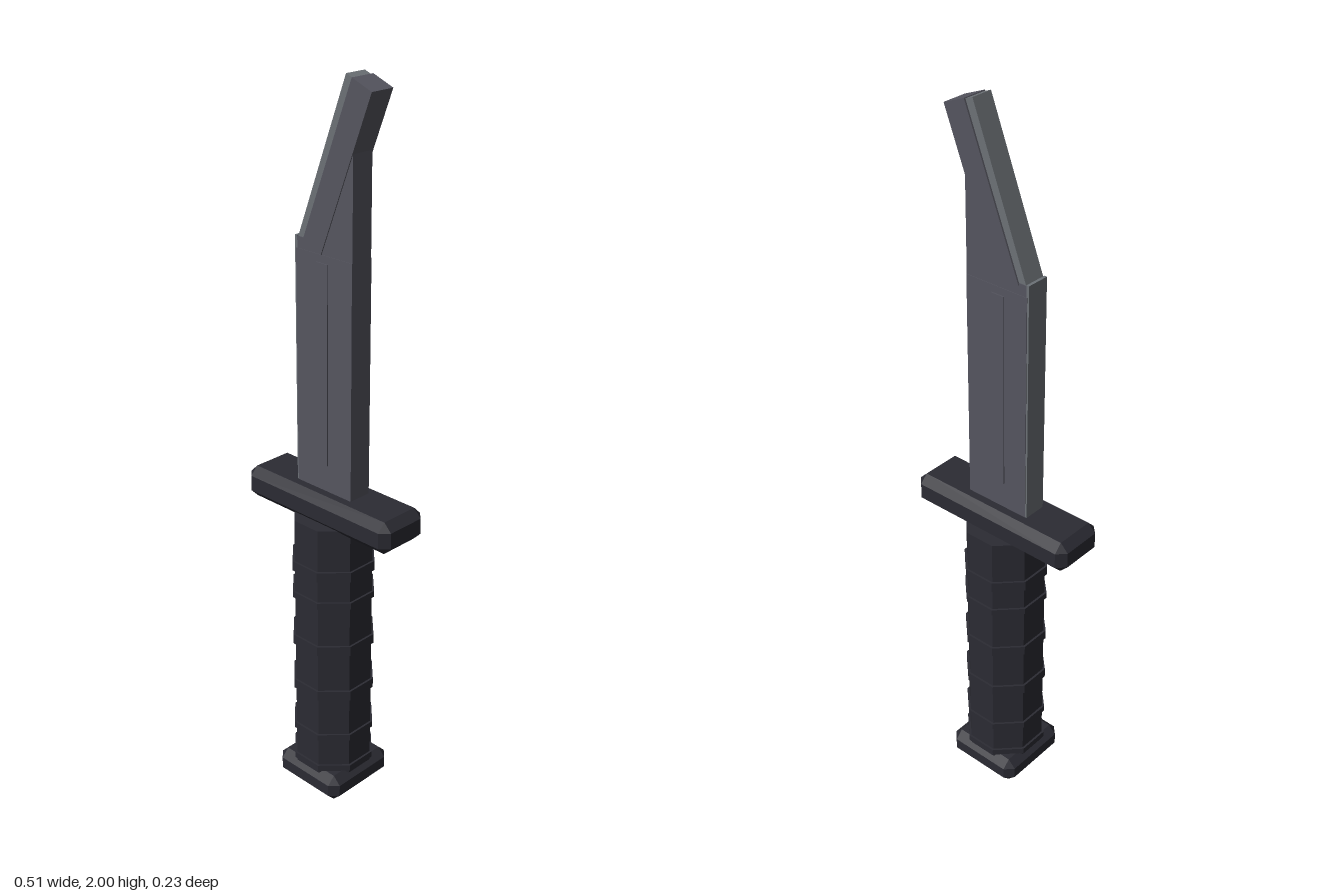
import * as THREE from 'three';
import { ConvexGeometry } from 'three/addons/geometries/ConvexGeometry.js';

const mat = (name, color) => {
  const m = new THREE.MeshStandardMaterial({ color, flatShading: true });
  m.name = name;
  return m;
};

// Box with every edge chamfered by c
function chamferBox(w, h, d, c) {
  const pts = [];
  const [a, b, e] = [w / 2, h / 2, d / 2];
  for (const i of [-1, 1]) for (const j of [-1, 1]) for (const k of [-1, 1]) {
    pts.push(
      new THREE.Vector3(i * a, j * (b - c), k * (e - c)),
      new THREE.Vector3(i * (a - c), j * b, k * (e - c)),
      new THREE.Vector3(i * (a - c), j * (b - c), k * e));
  }
  return new ConvexGeometry(pts);
}

// Flat outline given thickness 2 * half, centred on z = 0
function slab(points, half) {
  const shape = new THREE.Shape(points.map(p => new THREE.Vector2(...p)));
  return new THREE.ExtrudeGeometry(shape, { depth: 2 * half, bevelEnabled: false })
    .translate(0, 0, -half);
}

// Upright octagonal prism with flats facing the axes
function octagon(flat, y0, y1) {
  const r = flat / Math.cos(Math.PI / 8);
  return new THREE.CylinderGeometry(r, r, y1 - y0, 8)
    .rotateY(Math.PI / 8).translate(0, (y0 + y1) / 2, 0);
}

export function createModel() {
  const group = new THREE.Group();
  const black = mat('black grip', 0x2b2b33);
  const steel = mat('dark steel', 0x55555f);
  const bright = mat('edge steel', 0x6c7176);
  const add = (name, geometry, material) => {
    const mesh = new THREE.Mesh(geometry, material);
    mesh.name = name;
    group.add(mesh);
    return mesh;
  };

  // Handle
  add('pommel', chamferBox(0.23, 0.08, 0.23, 0.023), black).position.y = 0.04;
  add('grip', octagon(0.103, 0.07, 0.845), black);
  [0.09, 0.195, 0.335, 0.48, 0.622, 0.71].forEach((y, i) => {
    const half = i === 3 || i === 2 || i === 5 ? 0.014 : 0.009;
    add('gripRing', octagon(0.109, y - half, y + half), black);
  });
  add('guard', chamferBox(0.512, 0.09, 0.158, 0.023), black).position.y = 0.88;

  // Blade body
  add('lowerBlade', slab([[-0.095, 0.9], [0.095, 0.9], [0.095, 1.56], [-0.095, 1.56]], 0.034), steel);
  add('upperBlade', slab([[-0.095, 1.56], [0.095, 1.56], [0.095, 1.9],
    [0.07, 1.9], [-0.055, 1.59], [-0.095, 1.59]], 0.0325), steel);
  add('fuller', slab([[-0.025, 1.0], [0.014, 1.0], [0.014, 1.54], [-0.025, 1.54]], 0.037), steel);

  // Slanted tip and its sharpened edges
  add('tip', slab([[-0.07, 1.585], [-0.008, 1.56], [0.154, 1.97], [0.092, 1.994]], 0.0355), steel);
  add('slantedEdge', slab([[-0.09, 1.589], [-0.064, 1.579], [0.096, 1.99], [0.07, 2.0]], 0.031), bright);
  add('straightEdge', slab([[-0.1, 0.9], [-0.092, 0.9], [-0.092, 1.592], [-0.1, 1.592]], 0.0325), bright);

  return group;
}
